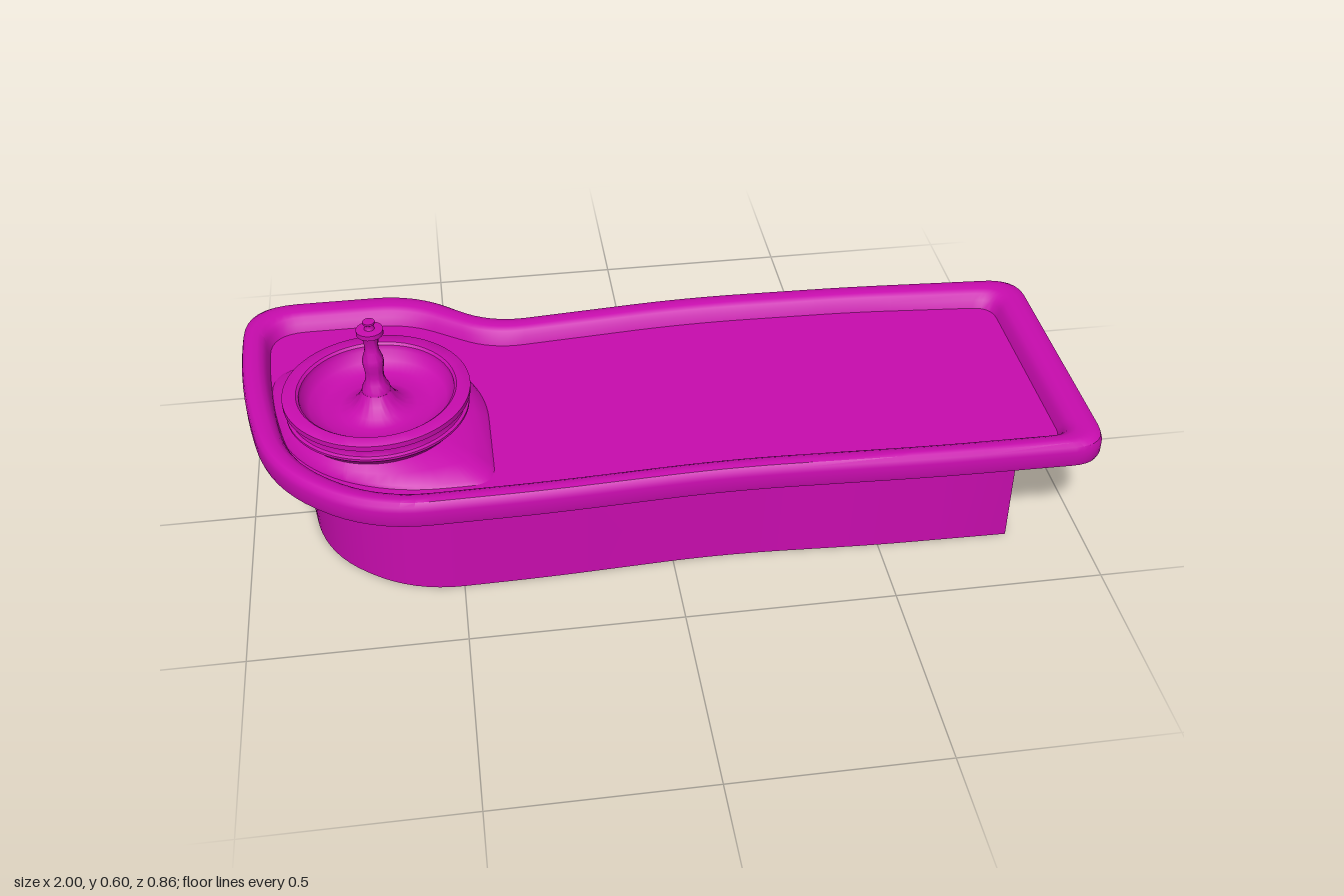
import * as THREE from 'three';
import { toCreasedNormals } from 'three/addons/utils/BufferGeometryUtils.js';

const material = new THREE.MeshStandardMaterial({ color: 0xc80cae, side: THREE.DoubleSide });
const CENTRE = new THREE.Vector2(-0.665, 0.068); // middle of the basin (x, z)

// Closed outline through corners [x, z, rounding], each corner rounded by a quadratic curve
function outline(corners, steps = 8) {
  const points = [];
  const n = corners.length;
  const vec = (c) => new THREE.Vector2(c[0], c[1]);
  corners.forEach((c, i) => {
    const p = vec(c);
    const toward = (q) => q.sub(p).setLength(c[2]).add(p);
    const a = toward(vec(corners[(i + n - 1) % n]));
    const b = toward(vec(corners[(i + 1) % n]));
    points.push(...new THREE.QuadraticBezierCurve(a, p, b).getPoints(steps));
  });
  return points;
}

// Skin between matching loops, each { points, y }
function loft(rows) {
  const n = rows[0].points.length;
  const position = [];
  const index = [];
  rows.forEach(({ points, y }) => points.forEach((p) => position.push(p.x, y, p.y)));
  for (let i = 0; i < rows.length - 1; i++) {
    for (let j = 0; j < n; j++) {
      const k = (j + 1) % n;
      const a = i * n + j, b = i * n + k, c = a + n, d = b + n;
      index.push(a, c, b, b, c, d);
    }
  }
  const geometry = new THREE.BufferGeometry();
  geometry.setAttribute('position', new THREE.Float32BufferAttribute(position, 3));
  geometry.setIndex(index);
  return geometry;
}

function part(name, geometry, crease = 0.6) {
  const mesh = new THREE.Mesh(toCreasedNormals(geometry, crease), material);
  mesh.name = name;
  return mesh;
}

export function createModel() {
  const model = new THREE.Group();
  model.name = 'counterWithBasin';

  // Outlines, starting at the back corner beside the basin
  const outer = outline([
    [-1, -0.435, 0.13], [-0.56, -0.435, 0.11], [-0.385, -0.28, 0.1], [0.12, -0.32, 0.15],
    [0.55, -0.31, 0.1], [1, -0.285, 0.08], [1, 0.425, 0.08], [0.6, 0.42, 0.1],
    [0.12, 0.4, 0.15], [-0.3, 0.42, 0.1], [-0.7, 0.425, 0.14], [-0.925, 0.24, 0.14], [-1, -0.1, 0.18],
  ]);
  const inner = outline([
    [-0.935, -0.345, 0.09], [-0.59, -0.345, 0.08], [-0.385, -0.205, 0.08], [0.12, -0.245, 0.15],
    [0.55, -0.235, 0.1], [0.91, -0.205, 0.05], [0.91, 0.36, 0.05], [0.6, 0.358, 0.1],
    [0.12, 0.34, 0.15], [-0.3, 0.36, 0.1], [-0.67, 0.365, 0.12], [-0.865, 0.21, 0.12], [-0.93, -0.1, 0.15],
  ]);
  const skirt = outline([
    [-0.87, -0.335, 0.02], [-0.58, -0.335, 0.1], [-0.4, -0.2, 0.1], [0.12, -0.23, 0.15],
    [0.5, -0.225, 0.1], [0.82, -0.2, 0.003], [0.82, 0.325, 0.003], [0.5, 0.32, 0.1],
    [0.12, 0.3, 0.15], [-0.3, 0.32, 0.1], [-0.62, 0.325, 0.12], [-0.82, 0.17, 0.12], [-0.87, -0.08, 0.15],
  ]);
  const pad = outline([
    [-0.925, -0.195, 0.1], [-0.52, -0.195, 0.12], [-0.41, -0.02, 0.1], [-0.41, 0.325, 0.06],
    [-0.65, 0.325, 0.12], [-0.85, 0.21, 0.12], [-0.92, 0.03, 0.1],
  ]);

  // Open base wall
  model.add(part('baseWall', loft([{ points: skirt, y: 0 }, { points: skirt, y: 0.26 }])));

  // Rounded rim: [share of the way from outer to inner outline, height]
  const rimProfile = [
    [1, 0.303], [0.62, 0.303], [0.55, 0.275], [0.18, 0.275], [0.05, 0.281], [0, 0.293],
    [0, 0.322], [0.05, 0.335], [0.18, 0.343], [0.35, 0.345], [0.6, 0.344], [0.78, 0.338],
    [0.9, 0.325], [1, 0.305],
  ];
  model.add(part('rim', loft(rimProfile.map(([t, y]) => ({
    points: outer.map((p, i) => p.clone().lerp(inner[i], t)), y,
  })))));

  // Recessed worktop, cut out under the basin pad
  const flip = (points) => points.map((p) => new THREE.Vector2(p.x, -p.y));
  const top = new THREE.Shape(flip(inner));
  top.holes.push(new THREE.Path(flip(pad)));
  const worktop = new THREE.ShapeGeometry(top).rotateX(-Math.PI / 2).translate(0, 0.305, 0);
  model.add(part('worktop', worktop));

  // Raised pad sloping from the worktop up to the basin
  const circle = pad.map((p) => p.clone().sub(CENTRE).setLength(0.19).add(CENTRE));
  const padRow = (t, y) => ({ points: pad.map((p, i) => p.clone().lerp(circle[i], t)), y });
  model.add(part('basinPad', loft([padRow(0, 0.305), padRow(0.08, 0.312), padRow(0.5, 0.328), padRow(1, 0.34)])));

  // Turned basin and its centre post
  const turned = (name, profile, sides) => {
    const mesh = part(name, new THREE.LatheGeometry(profile.map(([r, y]) => new THREE.Vector2(r, y)), sides));
    mesh.position.set(CENTRE.x, 0, CENTRE.y);
    model.add(mesh);
  };
  turned('basin', [
    [0, 0.338], [0.19, 0.338], [0.194, 0.345], [0.213, 0.364], [0.213, 0.37], [0.206, 0.373],
    [0.203, 0.382], [0.205, 0.391], [0.205, 0.396], [0.218, 0.398], [0.218, 0.411], [0.215, 0.413],
    [0.186, 0.413], [0.18, 0.408], [0.178, 0.395], [0.16, 0.375], [0.13, 0.363], [0.09, 0.36],
    [0.065, 0.368], [0.045, 0.388], [0.034, 0.41], [0, 0.41],
  ], 64);
  turned('post', [
    [0.034, 0.408], [0.032, 0.42], [0.025, 0.434], [0.021, 0.45], [0.022, 0.468], [0.025, 0.488],
    [0.024, 0.5], [0.017, 0.521], [0.016, 0.535], [0.018, 0.552], [0.022, 0.566], [0.031, 0.567],
    [0.031, 0.579], [0.012, 0.581], [0.01, 0.586], [0.01, 0.592], [0.014, 0.595], [0.014, 0.6], [0, 0.601],
  ], 32);

  return model;
}
